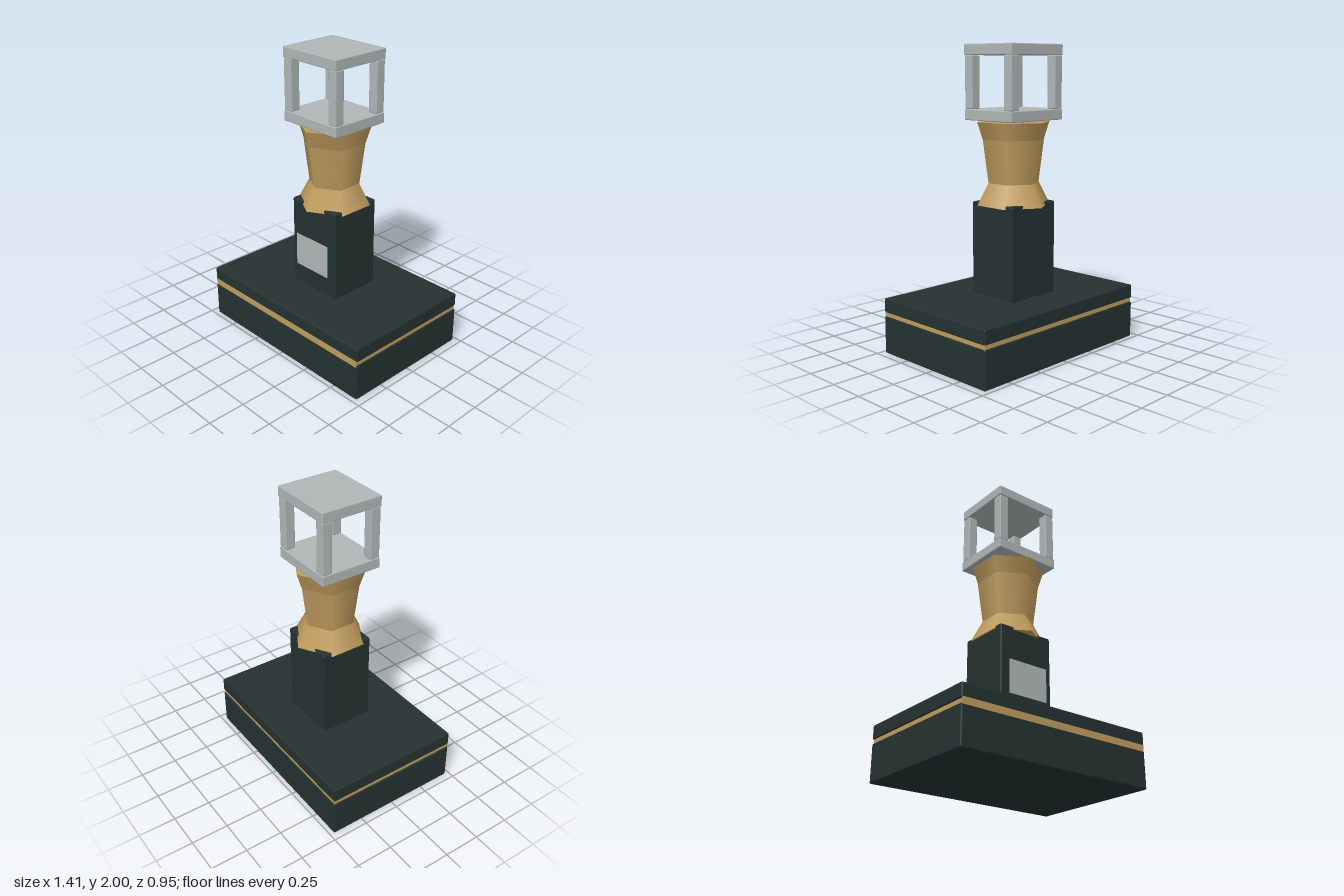
import * as THREE from 'three';
import { RoundedBoxGeometry } from 'three/addons/geometries/RoundedBoxGeometry.js';

const mat = (name, color) => {
  const m = new THREE.MeshStandardMaterial({ color });
  m.name = name;
  return m;
};

export function createModel() {
  const green = mat('darkGreen', 0x243231);
  const gold = mat('gold', 0xc09c5d);
  const silver = mat('silver', 0xb0b6b6);
  const model = new THREE.Group();
  model.name = 'trophy';

  const add = (parent, name, geometry, material, x, y, z) => {
    const mesh = new THREE.Mesh(geometry, material);
    mesh.name = name;
    mesh.position.set(x, y, z);
    parent.add(mesh);
  };
  // box given by its ranges, with a small bevel when r > 0
  const box = (parent, name, material, [x0, x1], [y0, y1], [z0, z1], r = 0) => {
    const size = [x1 - x0, y1 - y0, z1 - z0];
    const geo = r ? new RoundedBoxGeometry(...size, 1, r) : new THREE.BoxGeometry(...size);
    add(parent, name, geo, material, (x0 + x1) / 2, (y0 + y1) / 2, (z0 + z1) / 2);
  };

  // Plinth: two slabs with a gold band between, flush at the front
  box(model, 'plinthBase', green, [-0.703, 0.703], [0, 0.25], [-0.473, 0.473], 0.01);
  box(model, 'goldBand', gold, [-0.695, 0.695], [0.24, 0.284], [-0.465, 0.4745]);
  box(model, 'plinthTop', green, [-0.703, 0.703], [0.276, 0.37], [-0.473, 0.473], 0.01);

  // Column and its name plate, which stands a little proud
  box(model, 'column', green, [-0.203, 0.199], [0.36, 0.986], [-0.198, 0.168], 0.01);
  box(model, 'namePlate', silver, [-0.148, 0.145], [0.52, 0.747], [0.186, 0.19]);

  // Six-sided stem in three smooth sections, a corner facing front
  const rings = [[0.965, 0.245], [1.11, 0.17], [1.395, 0.207], [1.506, 0.243]];
  const stem = new THREE.Group();
  stem.name = 'stem';
  model.add(stem);
  ['stemFoot', 'stemBody', 'stemLip'].forEach((name, i) => {
    const [y0, r0] = rings[i], [y1, r1] = rings[i + 1];
    add(stem, name, new THREE.CylinderGeometry(r1, r0, y1 - y0, 6), gold, -0.002, (y0 + y1) / 2, -0.016);
  });

  // Open cage: two plates joined by four corner posts
  const cage = new THREE.Group();
  cage.name = 'cage';
  model.add(cage);
  const cx = [-0.238, 0.234], cz = [-0.228, 0.198], w = 0.069, inset = 0.003;
  box(cage, 'cageFloor', silver, cx, [1.517, 1.588], cz, 0.007);
  box(cage, 'cageRoof', silver, cx, [1.929, 2], cz, 0.007);
  const ends = ([a, b]) => [[a + inset, a + inset + w], [b - inset - w, b - inset]];
  for (const px of ends(cx)) {
    for (const pz of ends(cz)) box(cage, 'cagePost', silver, px, [1.588, 1.929], pz, 0.007);
  }
  return model;
}
